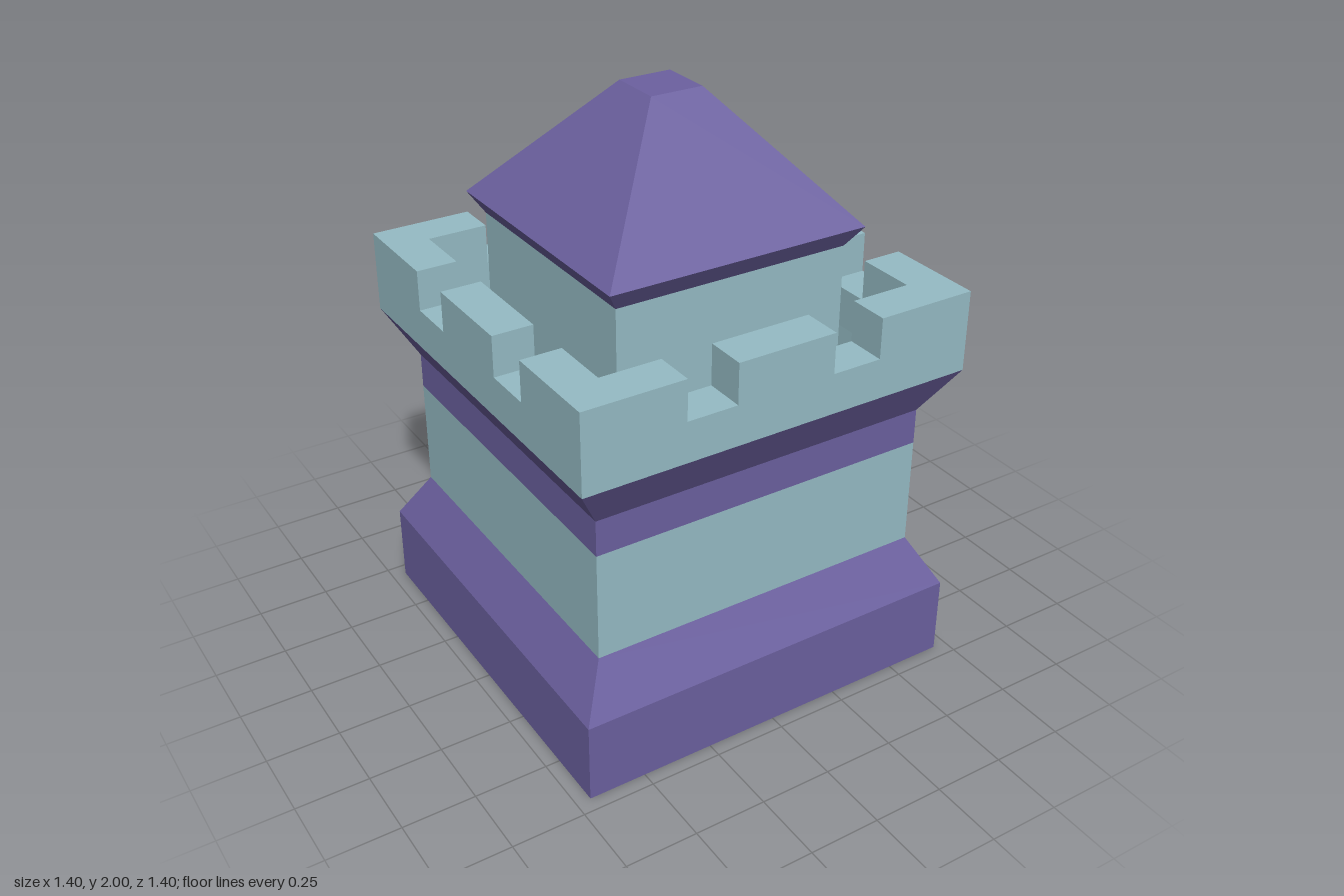
import * as THREE from 'three';

const material = (color, side = THREE.FrontSide) =>
  new THREE.MeshStandardMaterial({ color, flatShading: true, side });

// Square section swept up through [halfWidth, y] points.
function squareLoft(name, points, mat) {
  const profile = points.map(([h, y]) => new THREE.Vector2(h * Math.SQRT2, y));
  const mesh = new THREE.Mesh(new THREE.LatheGeometry(profile, 4, Math.PI / 4), mat);
  mesh.name = name;
  return mesh;
}

// One crenellated wall, its ends mitred to meet the neighbouring walls.
function wallGeometry(outer, inner, bottom, sill, top) {
  const half = [[0.175, top], [0.175, sill], [0.35, sill], [0.35, top], [outer, top], [outer, bottom]];
  const outline = [...half, ...half.map(([x, y]) => [-x, y]).reverse()];
  const shape = new THREE.Shape(outline.map(([x, y]) => new THREE.Vector2(x, y)));
  const geometry = new THREE.ExtrudeGeometry(shape, { depth: outer - inner, bevelEnabled: false });
  geometry.translate(0, 0, inner);
  const p = geometry.attributes.position;
  for (let i = 0; i < p.count; i++) {
    const limit = p.getZ(i);
    p.setX(i, THREE.MathUtils.clamp(p.getX(i), -limit, limit));
  }
  geometry.computeVertexNormals();
  return geometry;
}

export function createModel() {
  const model = new THREE.Group();
  model.name = 'castleTower';
  const purple = material(0x6c61a0);
  const teal = material(0x96bcc5);
  const darkTeal = material(0x6e8b91);

  // Body, from the ground up
  model.add(
    squareLoft('base', [[0, 0], [0.7, 0], [0.7, 0.28], [0.605, 0.45]], purple),
    squareLoft('wallBand', [[0.605, 0.45], [0.605, 0.83]], teal),
    squareLoft('flaredCornice', [[0.605, 0.83], [0.605, 0.955], [0.7, 1.12]], purple),
    squareLoft('walkway', [[0.7, 1.12], [0.415, 1.12]], darkTeal),
    squareLoft('turret', [[0.415, 1.12], [0.415, 1.515]], teal),
    squareLoft('roof', [[0.415, 1.515], [0.46, 1.585], [0.092, 2], [0, 2]], purple)
  );

  // Battlements on all four sides
  const battlements = new THREE.Group();
  battlements.name = 'battlements';
  const wall = wallGeometry(0.7, 0.56, 1.12, 1.26, 1.4);
  for (let i = 0; i < 4; i++) {
    const side = new THREE.Mesh(wall, teal);
    side.name = 'battlementWall';
    side.rotation.y = (i * Math.PI) / 2;
    battlements.add(side);
  }
  model.add(battlements);
  return model;
}
